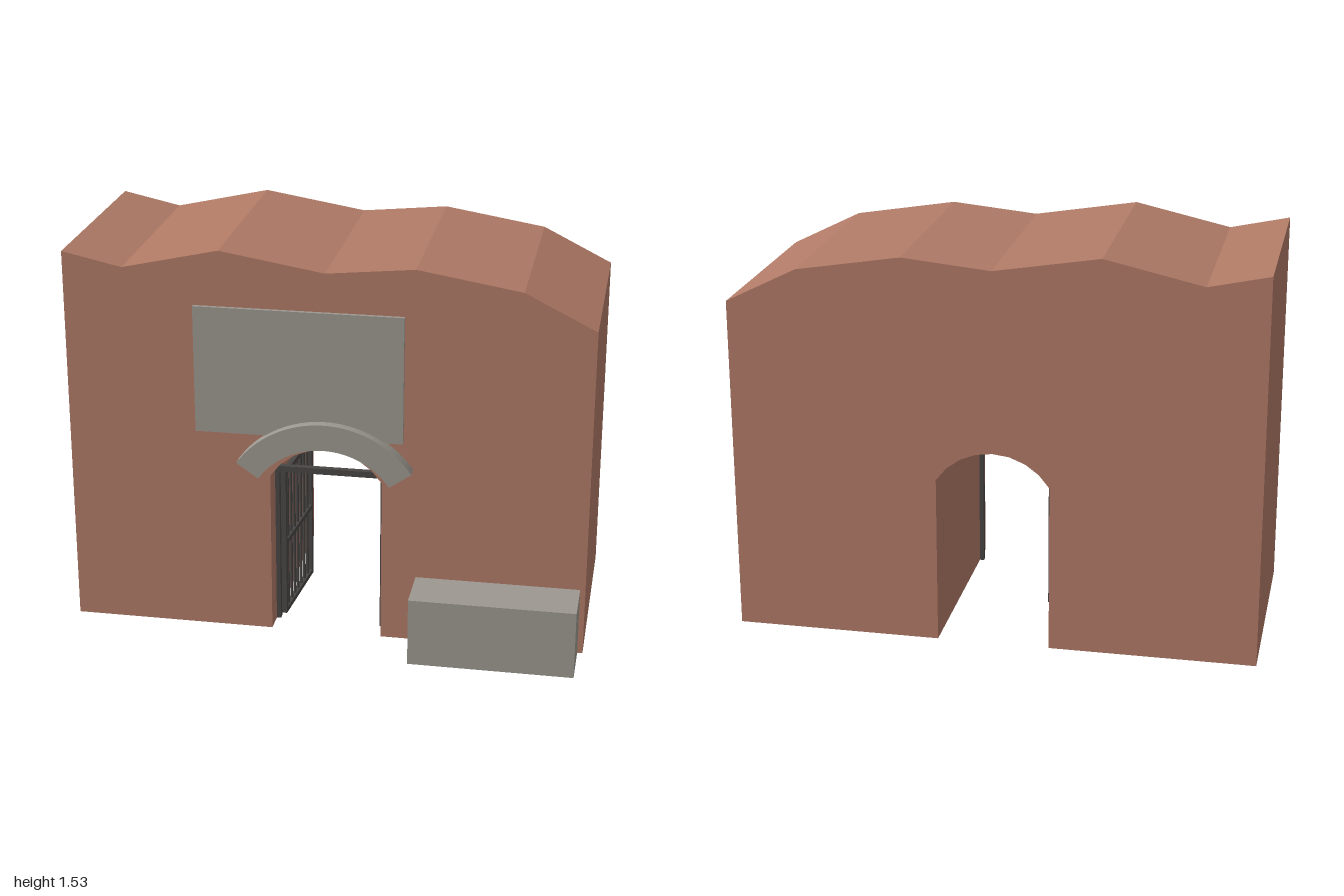
import * as THREE from 'three';

const FRONT = 0.333, BACK = -0.535;

export function createModel() {
  const brick = new THREE.MeshStandardMaterial({ name: 'terracotta wall', color: 0xb07a66 });
  const stone = new THREE.MeshStandardMaterial({ name: 'grey stone', color: 0x9c9890 });
  const iron = new THREE.MeshStandardMaterial({ name: 'dark iron', color: 0x484644 });

  const model = new THREE.Group();
  model.name = 'gateway';

  const add = (parent, name, geometry, material, x = 0, y = 0, z = 0) => {
    const mesh = new THREE.Mesh(geometry, material);
    mesh.name = name;
    mesh.position.set(x, y, z);
    parent.add(mesh);
    return mesh;
  };
  // Box given by its lower and upper corners
  const block = (parent, name, material, [x0, y0, z0], [x1, y1, z1]) =>
    add(parent, name, new THREE.BoxGeometry(x1 - x0, y1 - y0, z1 - z0), material,
      (x0 + x1) / 2, (y0 + y1) / 2, (z0 + z1) / 2);

  // Thick wall: uneven crest, and a passage with a shallow faceted vault
  const half = 0.215, spring = 0.65, rise = 0.12;
  const radius = (half * half + rise * rise) / (2 * rise);
  const centreY = spring + rise - radius;
  const sweep = Math.asin(half / radius);
  const outline = [
    [-1, 0], [-half, 0],
  ];
  const facets = 8;
  for (let i = 0; i <= facets; i++) {
    const a = -sweep + (2 * sweep * i) / facets;
    outline.push([radius * Math.sin(a), centreY + radius * Math.cos(a)]);
  }
  outline.push([half, 0], [1, 0], [1, 1.3], [0.73, 1.435], [0.335, 1.5],
    [0, 1.467], [-0.4, 1.533], [-0.77, 1.45], [-1, 1.5]);
  const wallShape = new THREE.Shape(outline.map(([x, y]) => new THREE.Vector2(x, y)));
  add(model, 'wall', new THREE.ExtrudeGeometry(wallShape,
    { depth: FRONT - BACK, bevelEnabled: false }), brick, 0, 0, BACK);

  // Curved stone hood over the passage
  const start = 0.607, end = Math.PI - start;
  const hood = new THREE.Shape();
  hood.absarc(0, 0, 0.408, start, end, false);
  hood.absarc(0, 0, 0.306, end, start, true);
  add(model, 'archHood', new THREE.ExtrudeGeometry(hood,
    { depth: 0.052, bevelEnabled: false, curveSegments: 20 }), stone, 0, 0.482, FRONT);

  // Plain stone panel and bench
  block(model, 'wallPanel', stone, [-0.5, 0.82, FRONT], [0.297, 1.318, 0.348]);
  block(model, 'bench', stone, [0.35, 0, FRONT], [0.98, 0.268, 0.535]);

  // Fixed gate frame
  const frame = new THREE.Group();
  frame.name = 'gateFrame';
  model.add(frame);
  const gateZ = 0.235;
  for (const side of [-1, 1]) {
    add(frame, 'framePost', new THREE.BoxGeometry(0.018, 0.655, 0.024), iron,
      side * 0.207, 0.3275, gateZ);
  }
  add(frame, 'frameLintel', new THREE.BoxGeometry(0.432, 0.024, 0.024), iron, 0, 0.643, gateZ);

  // Barred leaf, swung open into the passage; built along +x from its hinge
  const leaf = new THREE.Group();
  leaf.name = 'gateLeaf';
  leaf.position.set(-0.188, 0, gateZ - 0.01);
  leaf.rotation.y = THREE.MathUtils.degToRad(85);
  model.add(leaf);
  const length = 0.385, low = 0.012, high = 0.622, t = 0.02;
  for (const x of [t / 2, length - t / 2]) {
    add(leaf, 'leafStile', new THREE.BoxGeometry(t, high - low, t), iron, x, (low + high) / 2, 0);
  }
  for (const y of [low + t / 2, (low + high) / 2, high - t / 2]) {
    add(leaf, 'leafRail', new THREE.BoxGeometry(length - 2 * t, t, t), iron, length / 2, y, 0);
  }
  const bars = 7;
  const barGeometry = new THREE.CylinderGeometry(0.006, 0.006, high - low - t, 8);
  for (let i = 1; i <= bars; i++) {
    add(leaf, 'leafBar', barGeometry, iron,
      t / 2 + ((length - t) * i) / (bars + 1), (low + high) / 2, 0);
  }
  return model;
}
